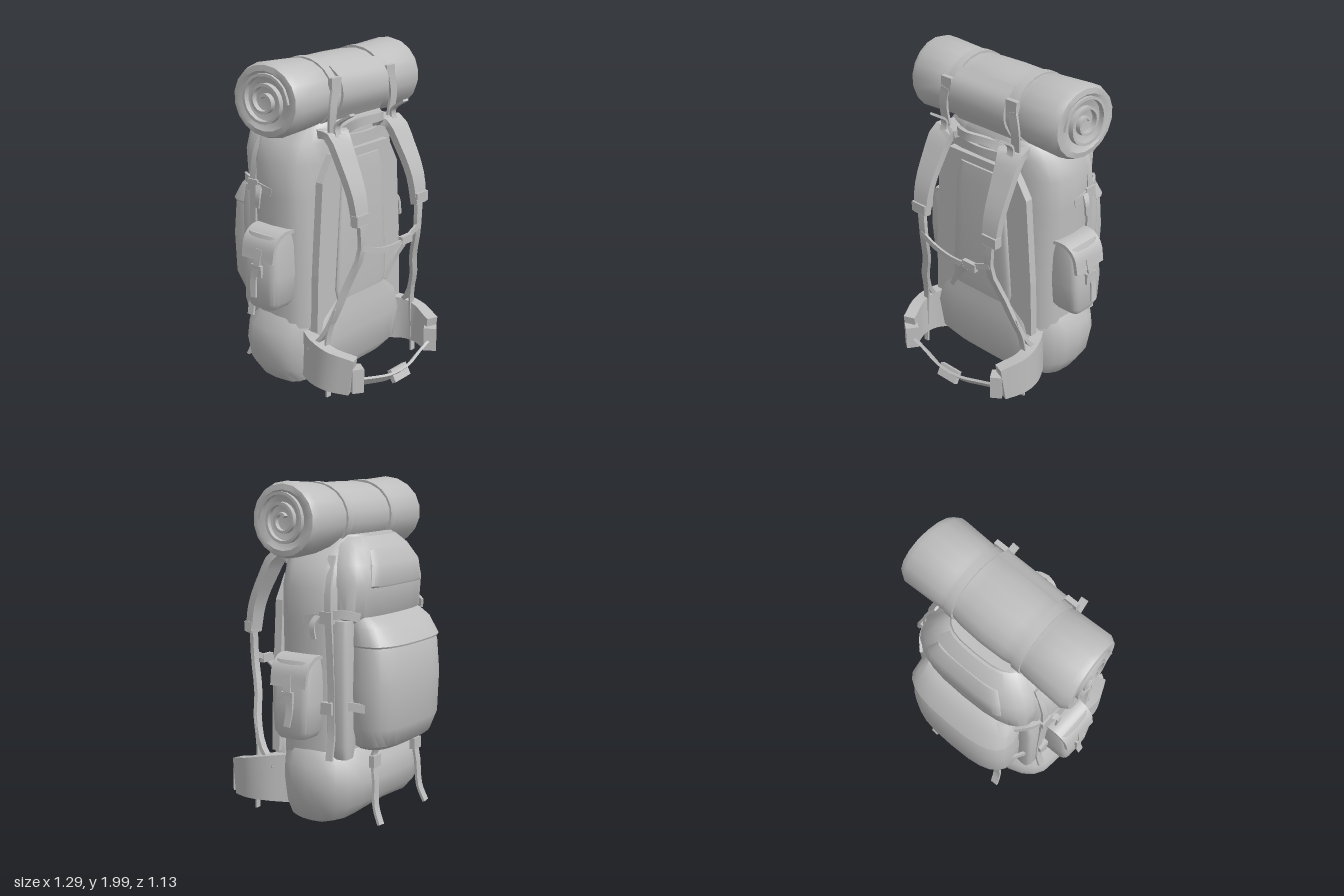
import * as THREE from 'three';
import { toCreasedNormals } from 'three/addons/utils/BufferGeometryUtils.js';

const grey = new THREE.MeshStandardMaterial({ color: 0xbebebe });
grey.name = 'grey canvas';
const V = (x, y, z) => new THREE.Vector3(x, y, z);

// Closed skin over a list of equal rings
function skin(rings, crease = 0.7) {
  const pos = [], n = rings[0].length;
  const tri = (...p) => p.forEach(v => pos.push(v.x, v.y, v.z));
  for (let i = 0; i + 1 < rings.length; i++) for (let j = 0; j < n; j++) {
    const k = (j + 1) % n, a = rings[i], b = rings[i + 1];
    tri(a[j], b[j], b[k]);
    tri(a[j], b[k], a[k]);
  }
  const mid = r => r.reduce((s, p) => s.add(p), V(0, 0, 0)).divideScalar(n);
  const first = rings[0], last = rings[rings.length - 1], c0 = mid(first), c1 = mid(last);
  for (let j = 0; j < n; j++) {
    const k = (j + 1) % n;
    tri(c0, first[j], first[k]);
    tri(c1, last[k], last[j]);
  }
  const g = new THREE.BufferGeometry();
  g.setAttribute('position', new THREE.Float32BufferAttribute(pos, 3));
  return toCreasedNormals(g, crease);
}

// Stuffed shape: rows of [y, half width, front z, back z], rounded-box sections;
// lift raises the middle of the underside
function stuffed(rows, power = 3.5, cx = 0, seg = 24, lift = 0) {
  return skin(rows.map(([y, hw, zf, zb]) => Array.from({ length: seg }, (_, j) => {
    const a = (j / seg) * Math.PI * 2, c = Math.cos(a), s = Math.sin(a);
    const f = v => Math.sign(v) * Math.abs(v) ** (2 / power);
    const x = hw * f(c);
    const rise = lift && lift * Math.max(0, 1 - (x / 0.38) ** 2) * Math.max(0, 1 - y / 0.2);
    return V(cx + x, y + rise, (zf + zb) / 2 + (zf - zb) / 2 * f(s));
  })));
}

// Webbing along a curve; width runs along the given axis and may taper
function webbing(points, w0, w1, thick, axis = V(1, 0, 0), steps = 12, closed = false) {
  const curve = new THREE.CatmullRomCurve3(points.map(p => V(...p)), closed);
  const rings = [];
  for (let i = 0; i <= steps; i++) {
    const t = i / steps, p = curve.getPoint(t), tan = curve.getTangent(t);
    const w = axis.clone().addScaledVector(tan, -axis.dot(tan)).normalize();
    const n = tan.clone().cross(w).normalize().multiplyScalar(thick / 2);
    w.multiplyScalar((w0 + (w1 - w0) * t) / 2);
    rings.push([[1, -1], [-1, -1], [-1, 1], [1, 1]].map(([a, b]) =>
      p.clone().addScaledVector(w, a).addScaledVector(n, b)));
  }
  return skin(rings);
}

export function createModel() {
  const model = new THREE.Group();
  model.name = 'backpack';
  const add = (name, geo) => {
    const m = new THREE.Mesh(geo, grey);
    m.name = name;
    model.add(m);
    return m;
  };
  const box = (name, w, h, d, x, y, z) => {
    const m = add(name, new THREE.BoxGeometry(w, h, d));
    m.position.set(x, y, z);
    return m;
  };
  const Y = V(0, 1, 0), Z = V(0, 0, 1);

  // Main sack and the wider compartment below it
  add('mainSack', stuffed([[0.4, 0.46, 0.2, -0.31], [0.8, 0.46, 0.2, -0.31], [1.2, 0.475, 0.2, -0.31],
    [1.4, 0.475, 0.2, -0.31], [1.52, 0.43, 0.2, -0.31], [1.61, 0.35, 0.2, -0.3], [1.69, 0.26, 0.14, -0.27]], 3.2));
  add('bottomCompartment', stuffed([[0.01, 0.4, 0.13, -0.23], [0.04, 0.45, 0.17, -0.3], [0.13, 0.5, 0.19, -0.365],
    [0.26, 0.52, 0.2, -0.385], [0.37, 0.51, 0.2, -0.375], [0.46, 0.46, 0.19, -0.32]], 2.8, 0, 24, 0.065));

  // Lid pocket and large pocket on the back, each with a soft overlapping flap
  add('lidPocket', stuffed([[1.19, 0.37, -0.05, -0.36], [1.24, 0.41, -0.05, -0.4], [1.42, 0.41, -0.05, -0.415],
    [1.53, 0.385, -0.05, -0.4], [1.62, 0.32, -0.05, -0.35], [1.68, 0.25, -0.05, -0.29]], 2.7));
  add('lidFlap', stuffed([[1.4, 0.28, -0.3, -0.415], [1.41, 0.29, -0.3, -0.42], [1.53, 0.27, -0.3, -0.41],
    [1.61, 0.22, -0.28, -0.36]], 3.5));
  add('backPocket', stuffed([[0.46, 0.28, -0.25, -0.46], [0.49, 0.33, -0.22, -0.51], [0.6, 0.37, -0.2, -0.55],
    [0.85, 0.375, -0.2, -0.56], [1.05, 0.365, -0.2, -0.545], [1.17, 0.345, -0.2, -0.48],
    [1.22, 0.31, -0.2, -0.41]], 2.8));
  add('backPocketFlap', stuffed([[1.07, 0.368, -0.22, -0.545], [1.08, 0.375, -0.22, -0.548],
    [1.18, 0.355, -0.22, -0.485], [1.235, 0.32, -0.22, -0.415]], 2.8));

  // Padded panel against the wearer, with a raised centre strip
  const panel = new THREE.Shape([[-0.4, 0.4], [0.4, 0.4], [0.39, 0.75], [0.35, 1.3], [0.26, 1.45],
    [-0.26, 1.45], [-0.35, 1.3], [-0.39, 0.75]].map(p => new THREE.Vector2(...p)));
  add('wearerPanel', new THREE.ExtrudeGeometry(panel, { depth: 0.05, bevelEnabled: false })).position.z = 0.18;
  add('centrePad', stuffed([[0.55, 0.22, 0.25, 0.15], [0.62, 0.24, 0.255, 0.15], [1.3, 0.19, 0.255, 0.15],
    [1.4, 0.16, 0.245, 0.15]], 7));
  add('lumbarPad', stuffed([[0.07, 0.28, 0.2, 0.08], [0.13, 0.38, 0.24, 0.08], [0.32, 0.4, 0.26, 0.08],
    [0.46, 0.36, 0.25, 0.1], [0.6, 0.22, 0.23, 0.12]], 5));

  // Rolled mat with shallow hollow ends, pinched under its straps
  const mat = add('rolledMat', stuffed([[-0.565, 0.14, 0.15, -0.13], [-0.585, 0.17, 0.19, -0.17],
    [-0.58, 0.202, 0.225, -0.205], [-0.54, 0.216, 0.25, -0.228], [-0.3, 0.203, 0.242, -0.218],
    [-0.24, 0.19, 0.23, -0.208], [-0.15, 0.198, 0.245, -0.224], [0, 0.2, 0.252, -0.23], [0.15, 0.198, 0.245, -0.224],
    [0.24, 0.19, 0.23, -0.208], [0.3, 0.203, 0.242, -0.218], [0.54, 0.216, 0.25, -0.228],
    [0.58, 0.202, 0.225, -0.205], [0.585, 0.17, 0.19, -0.17], [0.565, 0.14, 0.15, -0.13]], 2, 0, 18));
  // The mat's ends slant inwards towards the front
  const ends = mat.geometry.attributes.position;
  for (let i = 0; i < ends.count; i++) {
    const y = ends.getY(i);
    if (Math.abs(y) > 0.5) ends.setY(i, y - Math.sign(y) * 0.08 * ends.getZ(i));
  }
  mat.rotation.z = -Math.PI / 2;
  mat.position.y = 1.784;
  add('matOuterFlap', webbing([[0, 1.94, 0.16], [0, 1.87, 0.24], [0, 1.76, 0.255], [0, 1.64, 0.19]], 0.42, 0.42, 0.015));

  for (const s of [-1, 1]) {
    const side = s > 0 ? 'left' : 'right';
    const P = pts => pts.map(([x, y, z]) => [s * x, y, z]);

    // Coil seen at the end of the mat
    const coil = Array.from({ length: 26 }, (_, i) => {
      const a = i * 0.6, r = 0.165 - i * 0.0055, z = 0.01 + r * Math.cos(a);
      return [s * (0.57 - 0.08 * z), 1.784 + r * Math.sin(a), z];
    });
    add(side + 'MatCoil', webbing(coil, 0.05, 0.05, 0.016, V(1, 0, 0), 50));

    // Strap around the mat, with its buckle
    const loop = Array.from({ length: 16 }, (_, i) => {
      const a = i / 16 * Math.PI * 2;
      return [s * 0.24, 1.784 + 0.196 * Math.sin(a), 0.011 + 0.226 * Math.cos(a)];
    });
    add(side + 'MatStrap', webbing(loop, 0.055, 0.055, 0.018, V(1, 0, 0), 24, true));
    box(side + 'MatBuckle', 0.08, 0.09, 0.03, s * 0.25, 1.85, 0.235);
    add(side + 'MatStrapTail', webbing(P([[0.26, 1.83, 0.245], [0.28, 1.72, 0.245], [0.27, 1.58, 0.23]]), 0.06, 0.06, 0.015));

    // Shoulder strap: padded upper half, thin lower webbing
    add(side + 'ShoulderPad', webbing(P([[0.22, 1.57, 0.18], [0.26, 1.56, 0.26], [0.275, 1.42, 0.345],
      [0.28, 1.25, 0.42], [0.28, 1.08, 0.45]]), 0.18, 0.1, 0.045));
    add(side + 'ShoulderWebbing', webbing(P([[0.28, 1.12, 0.45], [0.27, 0.92, 0.45], [0.32, 0.72, 0.39],
      [0.37, 0.58, 0.36], [0.41, 0.42, 0.3], [0.43, 0.3, 0.2]]), 0.05, 0.045, 0.025));
    box(side + 'ShoulderBuckle', 0.11, 0.06, 0.05, s * 0.285, 1.12, 0.45);
    add(side + 'LoadStrap', webbing(P([[0.25, 1.7, 0.36], [0.26, 1.62, 0.26], [0.27, 1.45, 0.34]]), 0.045, 0.045, 0.014));
    add(side + 'LooseWebbing', webbing(P([[0.38, 0.58, 0.36], [0.41, 0.4, 0.32], [0.42, 0.2, 0.32],
      [0.42, 0.03, 0.33]]), 0.045, 0.035, 0.012));

    // Hip wing, buckle and front half of the belt
    add(side + 'HipWing', webbing(P([[0.36, 0.24, 0.12], [0.43, 0.235, 0.25], [0.44, 0.22, 0.36],
      [0.39, 0.2, 0.49]]), 0.3, 0.22, 0.075, Y));
    box(side + 'HipBuckle', 0.07, 0.15, 0.08, s * 0.37, 0.18, 0.5).rotation.y = s * 0.6;
    add(side + 'HipBelt', webbing(P([[0.38, 0.16, 0.49], [0.24, 0.12, 0.5], [0.1, 0.095, 0.525],
      [0, 0.09, 0.53]]), 0.06, 0.06, 0.016, V(0, 0.75, 0.6)));

    // Side pocket with flap, strap and loose end
    add(side + 'SidePocket', stuffed([[0.55, 0.095, 0.05, -0.13], [0.59, 0.11, 0.08, -0.16], [0.75, 0.115, 0.09, -0.17],
      [0.93, 0.1, 0.088, -0.17], [1.0, 0.075, 0.08, -0.16]], 5, s * 0.5, 20));
    add(side + 'SidePocketFlap', webbing(P([[0.43, 1.01, -0.04], [0.52, 1.01, -0.04], [0.582, 0.96, -0.04],
      [0.607, 0.85, -0.04]]), 0.26, 0.24, 0.022, Z));
    add(side + 'SidePocketStrap', webbing(P([[0.605, 0.92, -0.03], [0.62, 0.83, -0.04], [0.625, 0.74, -0.06],
      [0.64, 0.63, -0.05]]), 0.05, 0.04, 0.012, Z));
    box(side + 'SidePocketBuckle', 0.03, 0.07, 0.08, s * 0.613, 0.79, -0.04);

    // Slim pouch and upright strap behind the side pocket
    add(side + 'SlimPouch', stuffed([[0.42, 0.05, -0.2, -0.31], [0.5, 0.07, -0.18, -0.32], [1.1, 0.07, -0.18, -0.32],
      [1.22, 0.05, -0.2, -0.31]], 4, s * 0.38, 16));
    add(side + 'UprightStrap', webbing(P([[0.37, 1.58, -0.18], [0.445, 1.4, -0.2], [0.45, 1, -0.22],
      [0.45, 0.6, -0.23], [0.48, 0.42, -0.23]]), 0.045, 0.045, 0.015, Z));

    // Compression straps across the side
    for (const [y, z] of [[1.24, -0.36], [0.72, -0.4]]) {
      add(side + 'CompressionStrap', webbing(P([[0.47, y - 0.02, -0.05], [0.465, y, -0.16], [0.43, y + 0.02, -0.28],
        [0.36, y, z]]), 0.05, 0.05, 0.016, Y));
      box(side + 'CompressionBuckle', 0.04, 0.07, 0.08, s * 0.455, y, -0.2);
    }
    add(side + 'CompressionTail', webbing(P([[0.47, 1.25, -0.15], [0.5, 1.2, -0.13], [0.5, 1.12, -0.14]]), 0.04, 0.03, 0.012, Z));

    // Lower back strap with hanging end
    add(side + 'LowerBackStrap', webbing(P([[0.24, 0.5, -0.42], [0.24, 0.43, -0.385], [0.25, 0.28, -0.4],
      [0.26, 0.12, -0.41], [0.27, 0.02, -0.45]]), 0.055, 0.05, 0.016));
    box(side + 'LowerBackBuckle', 0.08, 0.07, 0.035, s * 0.24, 0.39, -0.39);
  }

  // Carry handle, chest strap and belt clasp
  add('carryHandle', webbing([[-0.16, 1.55, 0.2], [-0.11, 1.62, 0.29], [0, 1.64, 0.34], [0.11, 1.62, 0.29],
    [0.16, 1.55, 0.2]], 0.05, 0.05, 0.025, Y));
  add('topBand', webbing([[-0.25, 1.53, 0.22], [0, 1.52, 0.25], [0.25, 1.53, 0.22]], 0.05, 0.05, 0.02, Y));
  add('chestStrap', webbing([[-0.28, 0.95, 0.46], [-0.15, 0.9, 0.465], [0, 0.88, 0.47], [0.12, 0.89, 0.465],
    [0.28, 0.95, 0.46]], 0.035, 0.035, 0.014, Y));
  add('chestStrapTail', webbing([[0.1, 0.88, 0.475], [0.03, 0.8, 0.46], [-0.04, 0.69, 0.45]], 0.05, 0.025, 0.012));
  box('chestClasp', 0.1, 0.05, 0.03, 0.13, 0.895, 0.467);
  box('beltClasp', 0.15, 0.08, 0.03, 0, 0.09, 0.535).rotation.x = -0.5;

  return model;
}
